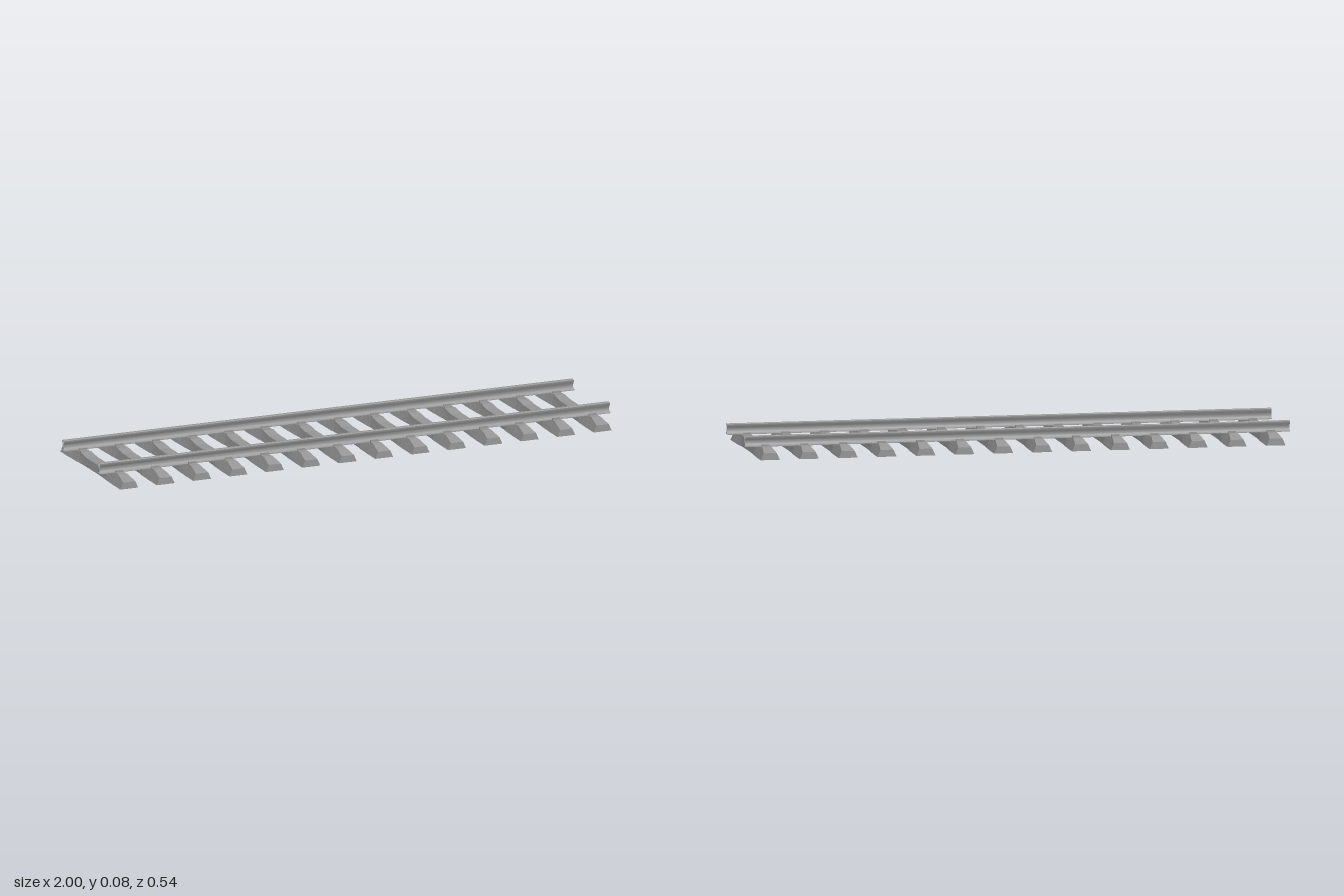
import * as THREE from 'three';
import { toCreasedNormals } from 'three/addons/utils/BufferGeometryUtils.js';

const grey = new THREE.MeshStandardMaterial({ color: 0x969696, side: THREE.DoubleSide });

// Skins rings of [x, y, z] points (counter-clockwise seen from +z, ordered by rising z).
// closed joins the last point of a ring to its first; capped fills both end rings.
function loft(rings, { closed, capped }) {
  const pos = [];
  const tri = (a, b, c) => pos.push(...a, ...b, ...c);
  const n = rings[0].length;
  for (let r = 0; r < rings.length - 1; r++) {
    const A = rings[r], B = rings[r + 1];
    for (let i = 0; i < (closed ? n : n - 1); i++) {
      const j = (i + 1) % n;
      tri(A[i], A[j], B[j]);
      tri(A[i], B[j], B[i]);
    }
  }
  if (capped) {
    const A = rings[0], B = rings[rings.length - 1];
    for (let i = 1; i < n - 1; i++) {
      tri(A[0], A[i + 1], A[i]);
      tri(B[0], B[i], B[i + 1]);
    }
  }
  const g = new THREE.BufferGeometry();
  g.setAttribute('position', new THREE.Float32BufferAttribute(pos, 3));
  g.computeVertexNormals();
  return g;
}

// Hollow sleeper, open underneath: trapezoid sections, waisted and lower in the middle
function sleeperGeometry() {
  // z, top height, half width of base, half width of top
  const half = [
    [0.065, 0.028, 0.029, 0.021],
    [0.118, 0.035, 0.031, 0.020],
    [0.124, 0.035, 0.032, 0.019],
    [0.127, 0.033, 0.033, 0.019],
    [0.178, 0.035, 0.034, 0.018],
    [0.198, 0.036, 0.035, 0.017],
    [0.202, 0.039, 0.035, 0.017],
    [0.208, 0.039, 0.035, 0.017],
    [0.270, 0.025, 0.035, 0.024],
  ];
  const all = [...half.map(([z, ...s]) => [-z, ...s]).reverse(), ...half];
  const rings = all.map(([z, y, b, t]) => [[b, 0, z], [t, y, z], [-t, y, z], [-b, 0, z]]);
  return loft(rings, { closed: false, capped: true });
}

// Rail: foot, web and head swept along x, ends left open
function railGeometry() {
  const right = [
    [0.015, 0.036], [0.015, 0.038], [0.005, 0.042], [0.003, 0.046],
    [0.003, 0.056], [0.005, 0.061], [0.008, 0.065], [0.008, 0.073], [0.006, 0.075],
  ];
  const section = [...right, ...right.map(([x, y]) => [-x, y]).reverse()];
  const rings = [-1, 1].map(z => section.map(([x, y]) => [x, y, z]));
  const rail = loft(rings, { closed: true, capped: false }).rotateY(Math.PI / 2);
  return toCreasedNormals(rail, 0.75);
}

export function createModel() {
  const track = new THREE.Group();
  track.name = 'railwayTrack';
  const add = (parent, geometry, name, x, y, z) => {
    const mesh = new THREE.Mesh(geometry, grey);
    mesh.name = name;
    mesh.position.set(x, y, z);
    parent.add(mesh);
  };

  // Fourteen evenly spaced sleepers with guide plates beside each rail
  const sleeper = sleeperGeometry();
  const plate = new THREE.BoxGeometry(0.034, 0.003, 0.02);
  const lip = new THREE.BoxGeometry(0.03, 0.008, 0.004);
  const count = 14;
  for (let i = 0; i < count; i++) {
    const unit = new THREE.Group();
    unit.name = 'sleeperUnit';
    unit.position.x = -1 + (i + 0.5) * 2 / count;
    add(unit, sleeper, 'sleeper', 0, 0, 0);
    for (const s of [-1, 1]) {
      add(unit, plate, 'outerGuidePlate', 0, 0.0362, s * 0.188);
      add(unit, lip, 'outerRailClip', 0, 0.04, s * 0.178);
      add(unit, plate, 'innerGuidePlate', 0, 0.0342, s * 0.137);
      add(unit, lip, 'innerRailClip', 0, 0.038, s * 0.146);
    }
    track.add(unit);
  }

  // Two parallel rails
  const rail = railGeometry();
  add(track, rail, 'frontRail', 0, 0, 0.162);
  add(track, rail, 'backRail', 0, 0, -0.162);
  return track;
}
